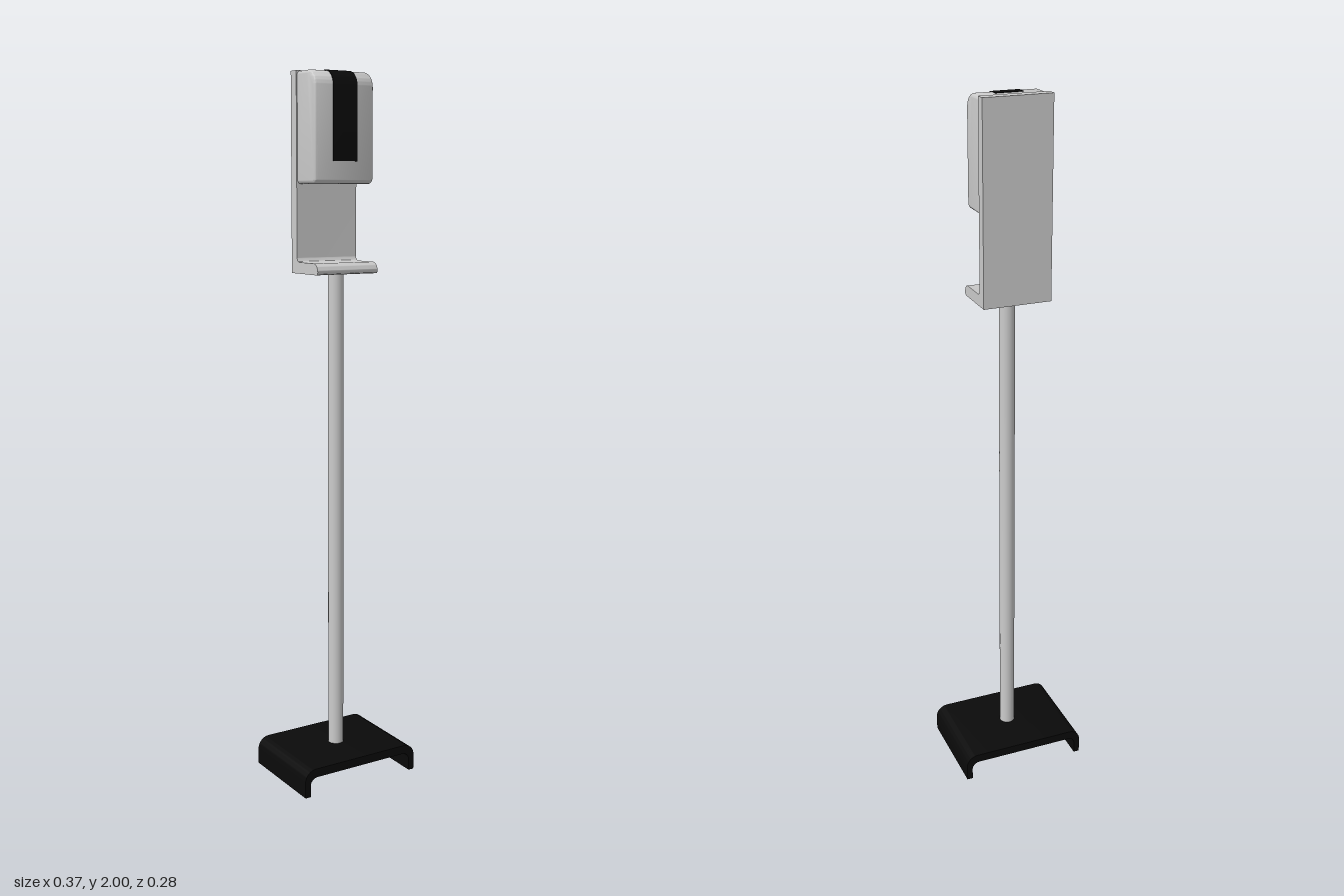
import * as THREE from 'three';
import { toCreasedNormals } from 'three/addons/utils/BufferGeometryUtils.js';

const GREY = 0xcccccc, BLACK = 0x0a0a0a;

function addPart(group, name, geometry, color = GREY) {
  const mesh = new THREE.Mesh(geometry, new THREE.MeshStandardMaterial({ color }));
  mesh.name = name;
  group.add(mesh);
  return mesh;
}

// Extrude a shape to a total depth centred on its own z, with an inward rounded bevel
function extrude(shape, depth, bevel = 0) {
  const geo = new THREE.ExtrudeGeometry(shape, {
    depth: depth - 2 * bevel, curveSegments: 10, bevelEnabled: bevel > 0,
    bevelSize: bevel, bevelThickness: bevel, bevelOffset: -bevel, bevelSegments: 5,
  });
  geo.translate(0, 0, bevel - depth / 2);
  return toCreasedNormals(geo, 0.6);
}

// Side profile drawn as (z, y), swept across the width
const extrudeAcross = (shape, width, bevel) => extrude(shape, width, bevel).rotateY(-Math.PI / 2);

export function createModel() {
  const group = new THREE.Group();
  group.name = 'dispenserStand';

  // Base: folded plate with rounded shoulders, open at front and back
  const w = 0.185, h = 0.08, t = 0.017, top = 0.025, r = 0.035, ri = 0.022;
  const base = new THREE.Shape();
  base.moveTo(-w, 0);
  base.lineTo(-w + t, 0);
  base.lineTo(-w + t, h - top - ri);
  base.absarc(-w + t + ri, h - top - ri, ri, Math.PI, Math.PI / 2, true);
  base.absarc(w - t - ri, h - top - ri, ri, Math.PI / 2, 0, true);
  base.lineTo(w - t, 0);
  base.lineTo(w, 0);
  base.absarc(w - r, h - r, r, 0, Math.PI / 2, false);
  base.absarc(-w + r, h - r, r, Math.PI / 2, Math.PI, false);
  base.closePath();
  addPart(group, 'base', extrude(base, 0.276), BLACK).position.z = -0.001;

  // Pole
  addPart(group, 'pole', new THREE.CylinderGeometry(0.022, 0.022, 1.4, 32)).position.y = 0.77;

  // Back plate folding forward into the drip tray
  const plate = new THREE.Shape();
  plate.moveTo(-0.074, 2);
  plate.lineTo(-0.074, 1.457);
  plate.lineTo(0.057, 1.457);
  plate.absarc(0.057, 1.465, 0.008, -Math.PI / 2, 0, false);
  plate.absarc(0.042, 1.465, 0.023, 0, Math.PI / 2, false);
  plate.absarc(-0.033, 1.5, 0.012, -Math.PI / 2, -Math.PI, true);
  plate.lineTo(-0.045, 2);
  plate.closePath();
  addPart(group, 'backPlateAndTray', extrudeAcross(plate, 0.193)).position.x = -0.001;

  // Dispenser housing with a large rounded top front edge
  const front = 0.048, roof = 1.998, R = 0.042;
  const body = new THREE.Shape();
  body.moveTo(-0.062, 1.7);
  body.lineTo(front - 0.014, 1.7);
  body.absarc(front - 0.014, 1.714, 0.014, -Math.PI / 2, 0, false);
  body.absarc(front - R, roof - R, R, 0, Math.PI / 2, false);
  body.lineTo(-0.062, roof);
  body.closePath();
  addPart(group, 'dispenserHousing', extrudeAcross(body, 0.187, 0.01)).position.x = -0.001;

  // Dark window strip wrapping over the top and down the front
  const lift = 0.002, c = [front - R, roof - R];
  const strip = new THREE.Shape();
  strip.moveTo(front - 0.003, 1.76);
  strip.lineTo(front + lift, 1.76);
  strip.absarc(c[0], c[1], R + lift, 0, Math.PI / 2, false);
  strip.lineTo(-0.017, roof + lift);
  strip.lineTo(-0.017, roof - 0.003);
  strip.absarc(c[0], c[1], R - 0.003, Math.PI / 2, 0, true);
  strip.closePath();
  addPart(group, 'windowStrip', extrudeAcross(strip, 0.076), BLACK);

  return group;
}
